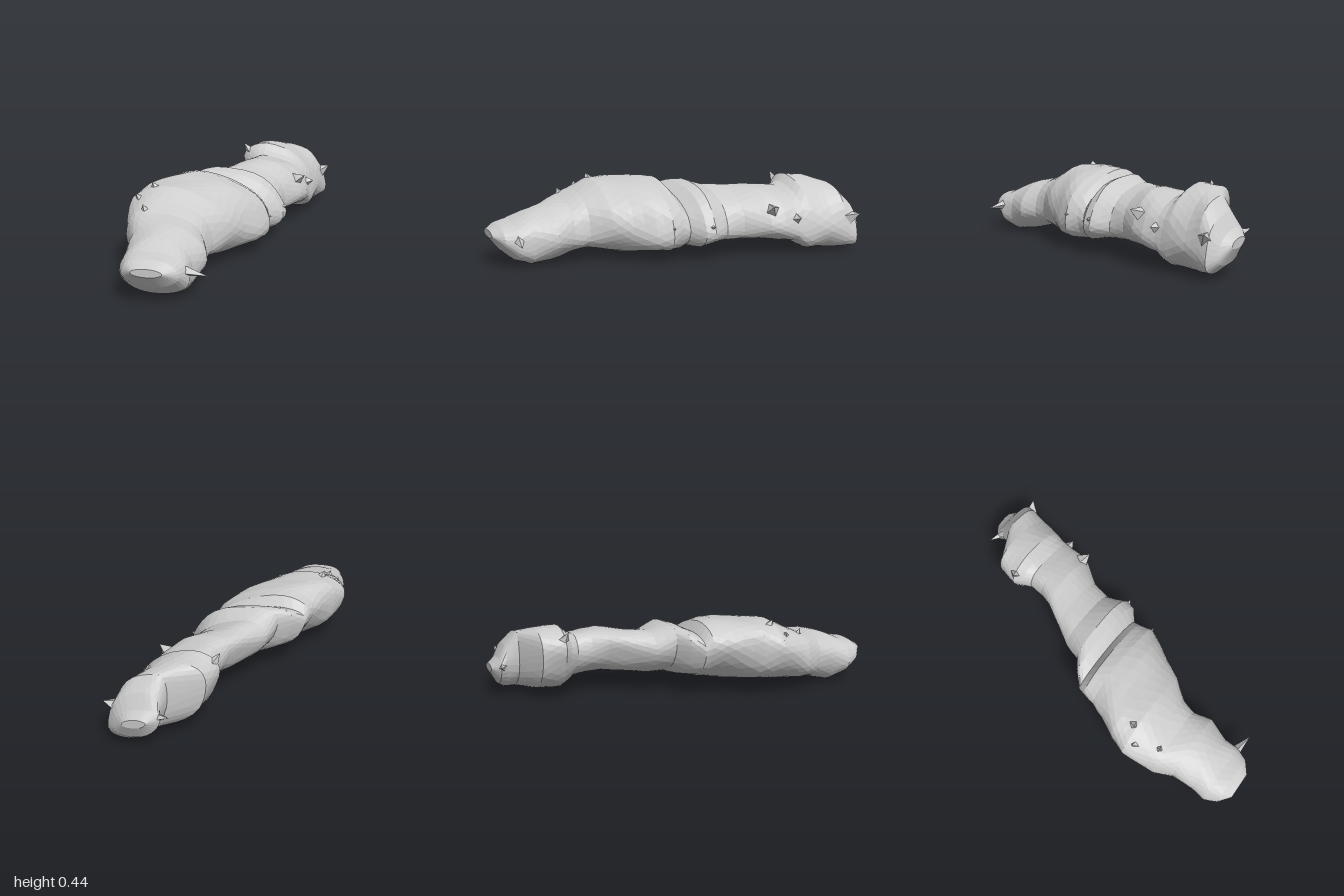
import * as THREE from 'three';

// Cross-sections along the body: z, xMin, xMax, yMin, yMax
const SECTIONS = [
  [-1.0, 0.23, 0.35, 0.15, 0.2],
  [-0.96, 0.17, 0.41, 0.07, 0.24],
  [-0.92, 0.18, 0.46, 0.03, 0.31],
  [-0.86, 0.16, 0.44, 0.03, 0.38],
  [-0.78, -0.01, 0.42, 0.03, 0.41],
  [-0.66, -0.04, 0.40, 0.03, 0.42],
  [-0.62, -0.01, 0.39, 0.05, 0.38],
  [-0.58, 0.01, 0.38, 0.08, 0.36],
  [-0.5, 0.0, 0.37, 0.09, 0.37],
  [-0.42, -0.03, 0.34, 0.1, 0.38],
  [-0.3, -0.1, 0.26, 0.1, 0.37],
  [-0.2, -0.16, 0.24, 0.09, 0.37],
  [-0.1, -0.2, 0.28, 0.08, 0.41],
  [-0.05, -0.27, 0.27, 0.07, 0.40],
  [0.01, -0.33, 0.2, 0.08, 0.37],
  [0.05, -0.34, 0.2, 0.06, 0.42],
  [0.12, -0.35, 0.22, 0.05, 0.43],
  [0.2, -0.39, 0.18, 0.045, 0.435],
  [0.3, -0.45, 0.11, 0.045, 0.43],
  [0.4, -0.48, 0.05, 0.055, 0.42],
  [0.5, -0.47, -0.02, 0.06, 0.37],
  [0.58, -0.46, -0.04, 0.045, 0.335],
  [0.68, -0.41, -0.02, 0.025, 0.31],
  [0.8, -0.40, -0.06, 0.0, 0.275],
  [0.88, -0.41, -0.06, 0.03, 0.24],
  [0.95, -0.38, -0.1, 0.09, 0.225],
  [1.0, -0.32, -0.17, 0.155, 0.195],
];
const SIDES = 28;

// Gentle lumps on the skin, a lean that fades towards the front, and a slightly squared outline
const lump = (a, z) => 0.025 * Math.sin(3 * a + 9 * z) * Math.sin(13 * z + a) + 0.015 * Math.sin(5 * a - 17 * z);
const lean = (z) => Math.min(0.45, (1.1 - z) * 0.45);
const squared = (v) => Math.sign(v) * Math.abs(v) ** 0.9;

// Rings between the given sections, so no band is longer than about 0.05
function makeRings() {
  const rings = [];
  SECTIONS.forEach((s, i) => {
    const next = SECTIONS[i + 1];
    if (!next) return rings.push(s);
    const steps = Math.ceil((next[0] - s[0]) / 0.05);
    for (let k = 0; k < steps; k++) rings.push(s.map((v, j) => v + (next[j] - v) * k / steps));
  });
  return rings;
}

function bodyGeometry() {
  const pos = [], idx = [], rings = makeRings();
  rings.forEach(([z, x0, x1, y0, y1], r) => {
    for (let i = 0; i < SIDES; i++) {
      const a = ((i + (r % 2) / 2) / SIDES) * Math.PI * 2;
      const k = 1 + lump(a, z);
      pos.push((x0 + x1) / 2 + (x1 - x0) / 2 * k * squared(Math.cos(a)),
        Math.max(0, (y0 + y1) / 2 + (y1 - y0) / 2 * k * squared(Math.sin(a - lean(z)))), z);
    }
  });
  const at = (r, i) => r * SIDES + (i % SIDES);
  for (let r = 0; r < rings.length - 1; r++) {
    for (let i = 0; i < SIDES; i++) {
      const a = at(r, i), b = at(r, i + 1), c = at(r + 1, i), d = at(r + 1, i + 1);
      if (r % 2) idx.push(a, b, d, a, d, c);
      else idx.push(a, b, c, b, d, c);
    }
  }
  // End caps
  [0, rings.length - 1].forEach((r) => {
    const [z, x0, x1, y0, y1] = rings[r], centre = pos.length / 3;
    pos.push((x0 + x1) / 2, (y0 + y1) / 2, z);
    for (let i = 0; i < SIDES; i++) {
      if (r) idx.push(centre, at(r, i), at(r, i + 1));
      else idx.push(centre, at(r, i + 1), at(r, i));
    }
  });
  const g = new THREE.BufferGeometry();
  g.setAttribute('position', new THREE.Float32BufferAttribute(pos, 3));
  g.setIndex(idx);
  g.computeVertexNormals();
  return g;
}

export function createModel() {
  const group = new THREE.Group();
  const skin = new THREE.MeshStandardMaterial({ color: 0xcccccc, flatShading: true });
  skin.name = 'greySkin';

  const body = new THREE.Mesh(bodyGeometry(), skin);
  body.name = 'lumpyBody';
  group.add(body);

  // Ragged shards on the skin: base point, tip, base radius
  const shard = (name, base, tip, radius) => {
    const a = new THREE.Vector3(...base), b = new THREE.Vector3(...tip);
    const dir = b.clone().sub(a);
    const mesh = new THREE.Mesh(new THREE.ConeGeometry(radius, dir.length(), 4), skin);
    mesh.position.copy(a).add(b).multiplyScalar(0.5);
    mesh.quaternion.setFromUnitVectors(new THREE.Vector3(0, 1, 0), dir.normalize());
    mesh.name = name;
    group.add(mesh);
  };
  shard('frontThorn', [-0.14, 0.16, 0.87], [0.03, 0.14, 0.9], 0.04);
  shard('backHook', [0.27, 0.18, -0.92], [0.12, 0.22, -0.97], 0.05);
  shard('backCorner', [0.36, 0.17, -0.87], [0.475, 0.23, -0.92], 0.08);
  shard('topShard', [-0.32, 0.33, 0.35], [-0.36, 0.44, 0.39], 0.09);
  shard('sideShard', [-0.36, 0.29, 0.45], [-0.44, 0.385, 0.43], 0.08);
  shard('shoulderShard', [-0.34, 0.26, 0.53], [-0.37, 0.37, 0.56], 0.07);
  shard('waistShard', [0.27, 0.24, -0.46], [0.36, 0.29, -0.42], 0.07);
  shard('neckShard', [0.3, 0.2, -0.58], [0.4, 0.22, -0.57], 0.07);
  shard('foldShard', [0.19, 0.18, -0.08], [0.295, 0.2, -0.09], 0.06);
  shard('bellyShard', [0.12, 0.18, 0.1], [0.23, 0.2, 0.12], 0.06);
  shard('crestShard', [0.04, 0.3, -0.69], [-0.04, 0.42, -0.65], 0.07);
  return group;
}
